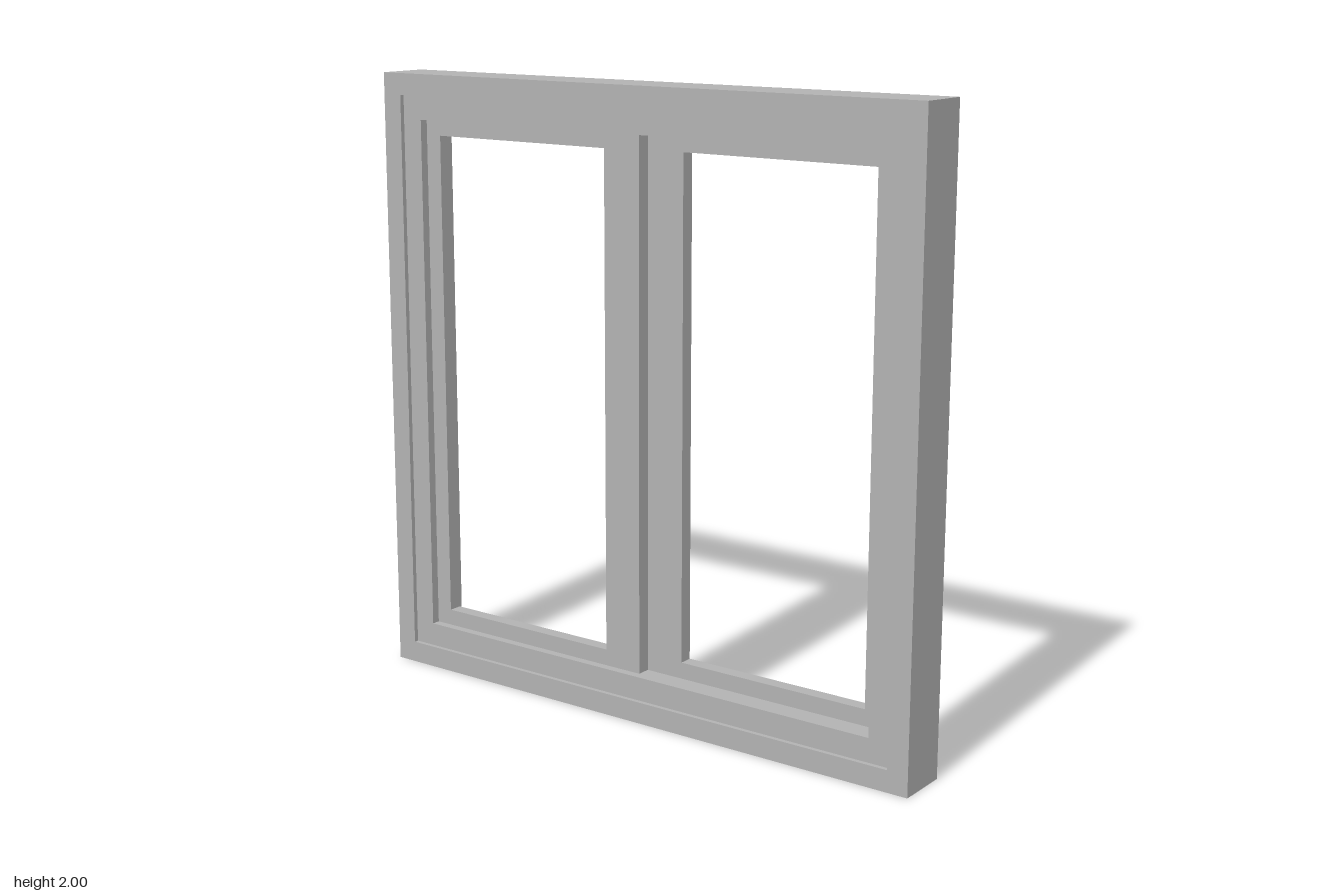
import * as THREE from 'three';

// Rectangular ring: outer and inner bounds as [x0, y0, x1, y1], extruded from z0 to z1
function ring(name, outer, inner, z0, z1, material) {
  const trace = (path, [x0, y0, x1, y1]) =>
    path.moveTo(x0, y0).lineTo(x1, y0).lineTo(x1, y1).lineTo(x0, y1).closePath();
  const shape = trace(new THREE.Shape(), outer);
  shape.holes.push(trace(new THREE.Path(), inner));
  const geometry = new THREE.ExtrudeGeometry(shape, { depth: z1 - z0, bevelEnabled: false });
  geometry.translate(0, 0, z0);
  const mesh = new THREE.Mesh(geometry, material);
  mesh.name = name;
  return mesh;
}

export function createModel() {
  const model = new THREE.Group();
  model.name = 'slidingWindow';
  const grey = new THREE.MeshStandardMaterial({ color: 0xb2b2b2 });
  grey.name = 'frame grey';

  // Outer frame and the slightly recessed liner inside it
  model.add(ring('outerFrame', [-1, 0, 1, 2], [-0.93, 0.07, 0.93, 1.93], -0.088, 0.088, grey));
  model.add(ring('innerFrame', [-0.93, 0.07, 0.93, 1.93], [-0.857, 0.147, 0.857, 1.853], -0.073, 0.073, grey));

  // Two sliding sashes on separate tracks, one the half-turn of the other
  for (const [name, turn] of [['rightSash', 0], ['leftSash', Math.PI]]) {
    const sash = ring(name, [-0.857, 0.147, 0, 1.853], [-0.8, 0.2, -0.132, 1.803], 0, 0.045, grey);
    sash.rotation.y = turn;
    model.add(sash);
  }
  return model;
}
